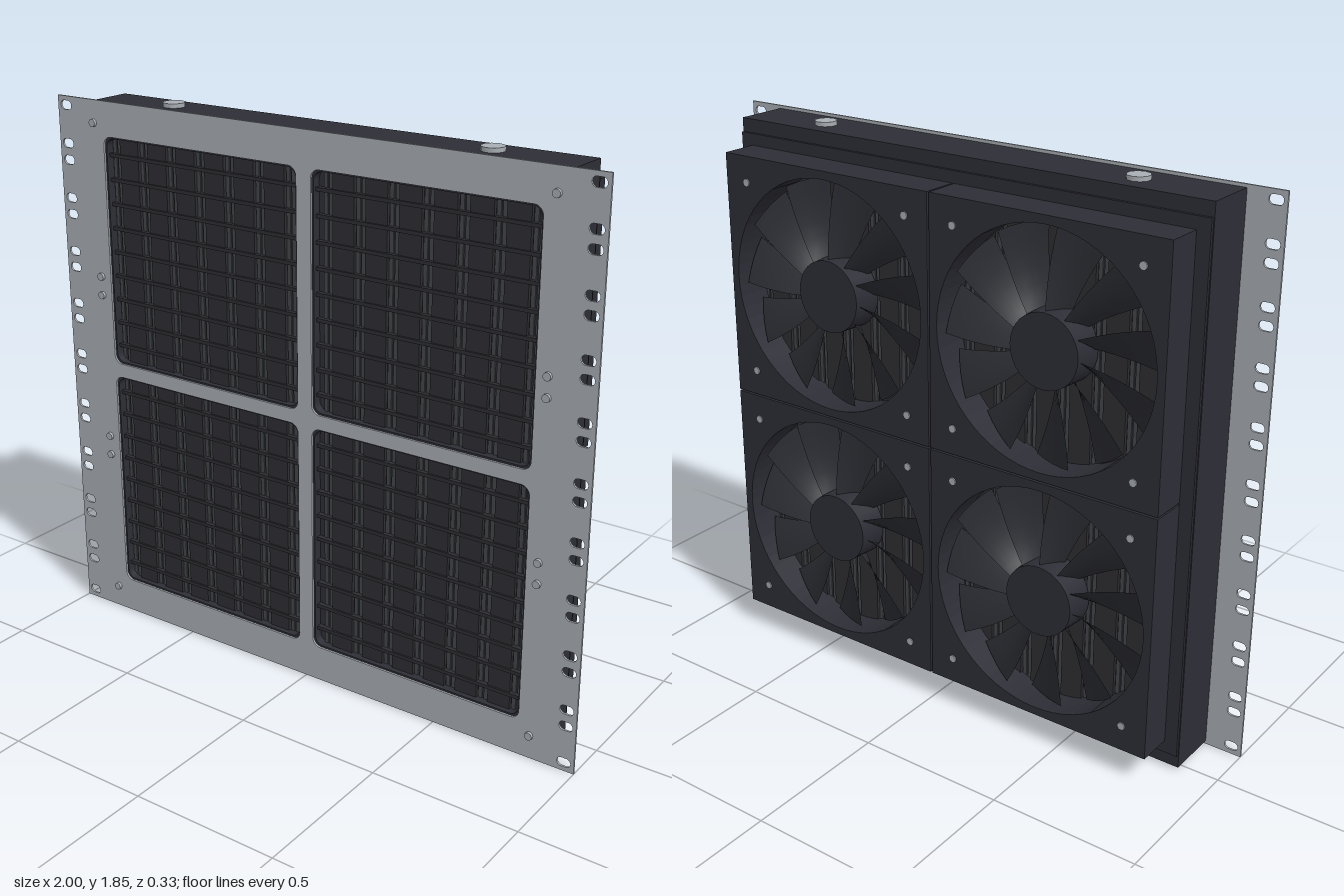
import * as THREE from 'three';

const mat = (name, color, side = THREE.FrontSide) => {
  const m = new THREE.MeshStandardMaterial({ color, side });
  m.name = name;
  return m;
};

export function createModel() {
  const root = new THREE.Group();
  root.name = 'rackFanRadiator';
  const steel = mat('brushed steel', 0xa8aeb4);
  const dark = mat('charcoal housing', 0x2d2d36);
  const core = mat('radiator black', 0x2e2e33);
  const fin = mat('fin grey', 0x43464a);
  const bladeMat = mat('blade black', 0x2c2d33, THREE.DoubleSide);

  const add = (parent, name, geo, m, x = 0, y = 0, z = 0) => {
    const mesh = new THREE.Mesh(geo, m);
    mesh.name = name;
    mesh.position.set(x, y, z);
    parent.add(mesh);
    return mesh;
  };
  // box given by its limits
  const block = (parent, name, m, x0, x1, y0, y1, z0, z1) =>
    add(parent, name, new THREE.BoxGeometry(x1 - x0, y1 - y0, z1 - z0), m,
      (x0 + x1) / 2, (y0 + y1) / 2, (z0 + z1) / 2);
  // rounded rectangle outline
  const roundRect = (Type, x0, x1, y0, y1, r) => {
    const p = new Type();
    p.moveTo(x0 + r, y0).lineTo(x1 - r, y0);
    p.absarc(x1 - r, y0 + r, r, -Math.PI / 2, 0);
    p.lineTo(x1, y1 - r).absarc(x1 - r, y1 - r, r, 0, Math.PI / 2);
    p.lineTo(x0 + r, y1).absarc(x0 + r, y1 - r, r, Math.PI / 2, Math.PI);
    p.lineTo(x0, y0 + r).absarc(x0 + r, y0 + r, r, Math.PI, Math.PI * 1.5);
    return p;
  };
  const rect = (x0, x1, y0, y1) => new THREE.Shape([[x0, y0], [x1, y0], [x1, y1], [x0, y1]]
    .map(([x, y]) => new THREE.Vector2(x, y)));
  const extrude = (shape, depth, curveSegments = 6) =>
    new THREE.ExtrudeGeometry(shape, { depth, bevelEnabled: false, curveSegments });

  const H = 1.845, UNIT = H / 10;
  const WX = [[-0.805, -0.027], [0.027, 0.805]];
  const WY = [[0.122, 0.902], [0.95, 1.73]];
  const windows = inset => WX.flatMap(([x0, x1]) => WY.map(([y0, y1]) =>
    roundRect(THREE.Path, x0 + inset, x1 - inset, y0 + inset, y1 - inset, 0.03)));

  // front plate with four windows and rack slots
  const plate = rect(-1, 1, 0, H);
  plate.holes.push(...windows(0));
  const slotY = [0.03, H - 0.03];
  for (let k = 1; k < 10; k++) slotY.push(k * UNIT - 0.028, k * UNIT + 0.028);
  for (const s of [-1, 1]) for (const y of slotY) {
    const x = s * 0.965;
    plate.holes.push(roundRect(THREE.Path, x - 0.023, x + 0.023, y - 0.015, y + 0.015, 0.0145));
  }
  add(root, 'frontPlate', extrude(plate, 0.007), steel, 0, 0, 0.15);

  // housing: window surround, main box and stepped rear plate
  const surround = rect(-0.875, 0.875, 0.01, 1.835);
  surround.holes.push(...windows(0.006));
  add(root, 'windowSurround', extrude(surround, 0.03), dark, 0, 0, 0.12);
  block(root, 'housing', dark, -0.875, 0.875, 0.01, 1.835, -0.03, 0.12);
  block(root, 'rearPlate', dark, -0.872, 0.872, 0.055, 1.79, -0.04, -0.03);

  // radiator tubes, fins and crossbars on the front and rear of the core
  const radiator = new THREE.Group();
  radiator.name = 'radiator';
  root.add(radiator);
  const PITCH = 0.118;
  for (const [x0, x1] of WX) for (const [y0, y1] of WY) {
    const s = Math.sign(x0 + x1);
    const front = 0.12, back = -0.04;
    for (let i = 0; i < 7; i++) {
      const x = s * (0.07 + i * PITCH);
      for (const dx of [-0.01, 0.01]) {
        block(radiator, 'finStrip', fin, x + dx - 0.007, x + dx + 0.007, y0, y1, front, front + 0.004);
        block(radiator, 'rearFinStrip', fin, x + dx - 0.007, x + dx + 0.007, y0, y1, back - 0.004, back);
      }
      if (i < 6) {
        const c = x + s * PITCH / 2;
        block(radiator, 'tube', core, c - 0.039, c + 0.039, y0, y1, front, front + 0.012);
        block(radiator, 'rearTube', core, c - 0.039, c + 0.039, y0, y1, back - 0.012, back);
      }
    }
    for (let j = 0; j < 9; j++) {
      const y = y0 + 0.06 + j * 0.082;
      block(radiator, 'crossbar', core, x0, x1, y - 0.006, y + 0.006, front, front + 0.018);
    }
  }

  // one twisted blade, widening outwards
  const blade = new THREE.PlaneGeometry(1, 1, 6, 4);
  const p = blade.attributes.position;
  for (let i = 0; i < p.count; i++) {
    const u = p.getX(i) + 0.5, v = p.getY(i);
    const r = 0.1 + 0.275 * u;
    const a = v * 0.4 + 0.12 * u;
    p.setXYZ(i, r * Math.cos(a), r * Math.sin(a), v * (0.075 - 0.02 * u));
  }
  blade.computeVertexNormals();

  // four fans: square frame, hub, blades, screws
  const SIZE = 0.412;
  const frame = rect(-SIZE, SIZE, -SIZE, SIZE);
  frame.holes.push(new THREE.Path().absarc(0, 0, 0.385, 0, Math.PI * 2, true));
  const frameGeo = extrude(frame, 0.124, 32);
  const hubGeo = new THREE.CylinderGeometry(0.12, 0.125, 0.1, 32).rotateX(-Math.PI / 2);
  const screwGeo = new THREE.CylinderGeometry(0.013, 0.013, 0.012, 12).rotateX(Math.PI / 2);
  for (const x of [-0.4155, 0.4155]) for (const y of [0.509, 1.339]) {
    const fan = new THREE.Group();
    fan.name = 'fan';
    fan.position.set(x, y, 0);
    root.add(fan);
    add(fan, 'fanFrame', frameGeo, dark, 0, 0, -0.164);
    add(fan, 'fanHub', hubGeo, dark, 0, 0, -0.105);
    for (let i = 0; i < 11; i++) {
      add(fan, 'fanBlade', blade, bladeMat, 0, 0, -0.105).rotation.z = i * Math.PI * 2 / 11;
    }
    for (const sx of [-1, 1]) for (const sy of [-1, 1]) {
      add(fan, 'fanScrew', screwGeo, steel, sx * 0.325, sy * 0.325, -0.162);
    }
  }

  // front panel screws
  for (const x of [-0.845, 0.845]) for (const y of [0.08, 0.6, 0.67, 1.185, 1.25, 1.77]) {
    add(root, 'panelScrew', screwGeo, steel, x, y, 0.161);
  }

  // plugs on the top
  const plugGeo = new THREE.CylinderGeometry(0.037, 0.037, 0.016, 10);
  for (const x of [-0.585, 0.585]) add(root, 'topPlug', plugGeo, steel, x, 1.841, 0.055);

  return root;
}
